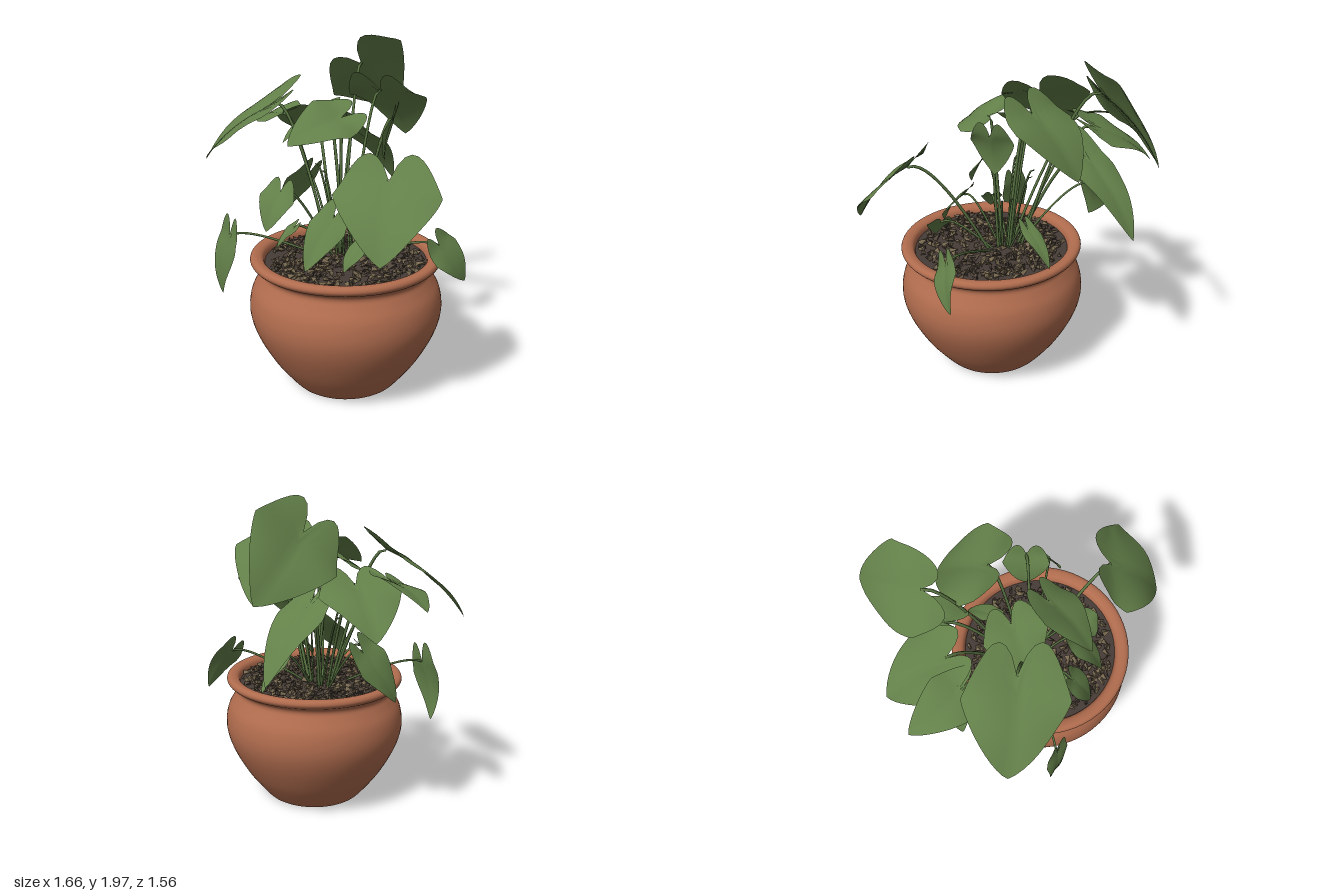
import * as THREE from 'three';

const V = (a) => new THREE.Vector3(...a);
const CENTER = [0.105, 0.22]; // pot axis (x, z)

// Each leaf: stem junction, tip, half width and optional roll about its midrib
const LEAVES = [
  { name: 'topBackLeaf', base: [-0.19, 1.79, -0.36], tip: [-0.16, 1.47, -0.78], width: 0.27, roll: 0.9 },
  { name: 'largeRightLeaf', base: [-0.37, 1.62, 0.25], tip: [-0.81, 1.25, 0.39], width: 0.29, roll: 0.26 },
  { name: 'largeFrontLeaf', base: [0.54, 1.35, 0.45], tip: [0.68, 1, 0.74], width: 0.28 },
  { name: 'largeBackLeaf', base: [0.11, 1.69, -0.12], tip: [0.09, 1.37, -0.44], width: 0.25 },
  { name: 'sideHangingLeaf', base: [0.3, 1.58, 0.02], tip: [0.25, 1.33, 0.04], width: 0.13 },
  { name: 'backRightLeaf', base: [-0.39, 1.49, -0.15], tip: [-0.66, 1.26, -0.4], width: 0.23 },
  { name: 'lowBackLeaf', base: [-0.18, 1.4, -0.26], tip: [-0.14, 1, -0.66], width: 0.15 },
  { name: 'farRightLeaf', base: [-0.52, 1.5, 0], tip: [-0.83, 1.4, -0.17], width: 0.15, roll: 0.3 },
  { name: 'midRightLeaf', base: [-0.43, 1.1, -0.12], tip: [-0.58, 0.8, 0], width: 0.13, roll: -0.75 },
  { name: 'lowRightLeaf', base: [-0.48, 0.88, 0.56], tip: [-0.55, 0.5, 0.57], width: 0.1, roll: 1.2 },
  { name: 'lowLeftLeaf', base: [0.63, 0.9, 0.06], tip: [0.73, 0.67, -0.07], width: 0.11, roll: -1.1 },
  { name: 'upperFrontLeaf', base: [0.09, 1.59, 0.23], tip: [-0.04, 1.47, 0.55], width: 0.17, roll: 0.5 },
  { name: 'upperCenterLeaf', base: [-0.1, 1.58, 0.1], tip: [-0.29, 1.4, 0.29], width: 0.18 },
  { name: 'frontHeartLeaf', base: [0.15, 1.06, 0.4], tip: [0.12, 0.81, 0.62], width: 0.11, roll: 0.4 },
  { name: 'frontRightLeaf', base: [-0.14, 1.19, 0.5], tip: [-0.14, 0.99, 0.63], width: 0.1, roll: 0.3 },
  { name: 'smallFrontLeaf', base: [-0.11, 0.96, 0.42], tip: [-0.18, 0.84, 0.5], width: 0.07 },
  { name: 'smallLeftLeaf', base: [0.34, 0.94, 0.41], tip: [0.3, 0.81, 0.51], width: 0.08 },
  { name: 'smallBackLeaf', base: [0.12, 0.98, -0.1], tip: [0.15, 0.8, -0.29], width: 0.06 },
];

// Seeded random numbers
function makeRandom(seed) {
  return () => {
    seed = (seed * 1664525 + 1013904223) % 4294967296;
    return seed / 4294967296;
  };
}

// Heart-shaped blade: every column runs from the lobed edge to the tip edge
function leafGeometry({ base, tip, width, roll = 0 }, phase) {
  const COLS = 24, ROWS = 12;
  const origin = V(base), along = V(tip).sub(origin);
  const length = along.length(), axis = along.clone().normalize();
  const across = new THREE.Vector3(-along.z, 0, along.x).normalize();
  const normal = across.clone().cross(axis);
  across.applyAxisAngle(axis, -roll);
  normal.applyAxisAngle(axis, -roll);
  const geo = new THREE.PlaneGeometry(1, 1, COLS, ROWS);
  const pos = geo.attributes.position;
  const p = new THREE.Vector3();
  for (let j = 0; j <= ROWS; j++) {
    for (let i = 0; i <= COLS; i++) {
      const s = Math.sin((i / COLS - 0.5) * Math.PI), a = Math.abs(s);
      const back = 0.2 * a ** 3 - 0.33 * Math.sin(Math.PI * a ** 0.8);
      const front = 0.2 + 0.8 * Math.max(0, 1 - a ** 1.25) ** 0.8;
      const v = THREE.MathUtils.lerp(front, back, j / ROWS);
      const arch = 0.3 * Math.max(v, 0) * (1 - v) * length;
      const fold = 0.16 * a * (1 - 0.9 * a) * width;
      const ripple = 0.08 * a * a * Math.sin(v * 6 + phase + s) * width;
      p.copy(origin).addScaledVector(along, v).addScaledVector(across, s * width)
        .addScaledVector(normal, arch + fold + ripple);
      pos.setXYZ(j * (COLS + 1) + i, p.x, p.y, p.z);
    }
  }
  geo.computeVertexNormals();
  return geo;
}

// Arching stem that rises from the clump to the leaf
function stemGeometry(base, root, radius) {
  const end = V(base);
  const knee = root.clone().lerp(end, 0.45);
  knee.y = THREE.MathUtils.lerp(root.y, end.y, 0.7);
  const high = root.clone().lerp(end, 0.8);
  high.y = end.y + 0.04;
  return new THREE.TubeGeometry(new THREE.CubicBezierCurve3(root, knee, high, end), 20, radius, 6);
}

export function createModel() {
  const model = new THREE.Group();
  const material = (name, color) => {
    const m = new THREE.MeshStandardMaterial({ color });
    m.name = name;
    return m;
  };
  const terracotta = material('terracotta', 0xb06c4e);
  const leafGreen = material('leafGreen', 0x638049);
  leafGreen.side = THREE.DoubleSide;
  const stemGreen = material('stemGreen', 0x5a7643);
  const soilBrown = material('soilBrown', 0x463b37);
  const barkDark = material('barkDark', 0x51463b);
  const barkLight = material('barkLight', 0x76684f);
  const add = (name, geo, mat, parent = model) => {
    const mesh = new THREE.Mesh(geo, mat);
    mesh.name = name;
    parent.add(mesh);
    return mesh;
  };

  // Pot: rounded belly, narrow neck, rolled rim
  const pot = new THREE.Group();
  pot.name = 'pot';
  pot.position.set(CENTER[0], 0, CENTER[1]);
  model.add(pot);
  const profile = new THREE.SplineCurve([
    [0.28, 0], [0.308, 0.012], [0.37, 0.085], [0.44, 0.18], [0.51, 0.305], [0.55, 0.41], [0.561, 0.5],
    [0.545, 0.59], [0.507, 0.66], [0.487, 0.7], [0.498, 0.73], [0.535, 0.752], [0.551, 0.775],
    [0.542, 0.797], [0.515, 0.802], [0.482, 0.79], [0.467, 0.755], [0.465, 0.7],
  ].map((point) => new THREE.Vector2(...point)));
  add('potBody', new THREE.LatheGeometry(profile.getPoints(72), 64), terracotta, pot);
  add('potBase', new THREE.CircleGeometry(0.28, 64).rotateX(Math.PI / 2), terracotta, pot);

  // Soil with scattered bark chips
  add('soil', new THREE.CircleGeometry(0.475, 48).rotateX(-Math.PI / 2), soilBrown, pot).position.y = 0.755;
  const random = makeRandom(7);
  const chipShape = new THREE.TetrahedronGeometry(1);
  for (let i = 0; i < 560; i++) {
    const r = 0.44 * Math.sqrt(random()), angle = random() * Math.PI * 2;
    const chip = add('barkChip', chipShape, i % 2 ? barkDark : barkLight, pot);
    chip.position.set(r * Math.cos(angle), 0.76 + random() * 0.02, r * Math.sin(angle));
    chip.scale.set(0.02 + random() * 0.03, 0.01 + random() * 0.015, 0.01 + random() * 0.014);
    chip.rotation.set(random() - 0.5, random() * 6.3, random() - 0.5);
  }

  // Leaves, each on its own stem from the central clump
  LEAVES.forEach((leaf, i) => {
    const plant = new THREE.Group();
    plant.name = leaf.name;
    model.add(plant);
    add('leafBlade', leafGeometry(leaf, i * 1.7), leafGreen, plant);
    const root = new THREE.Vector3(
      0.04 + leaf.base[0] * 0.2 + (random() - 0.5) * 0.06, 0.75,
      0.15 + leaf.base[2] * 0.12 + (random() - 0.5) * 0.06);
    add('stem', stemGeometry(leaf.base, root, leaf.base[1] > 1.3 ? 0.009 : 0.007), stemGreen, plant);
  });

  // Short young shoots in the clump
  for (let i = 0; i < 6; i++) {
    const angle = i * 2.4;
    const root = new THREE.Vector3(0.04 + 0.04 * Math.cos(angle), 0.75, 0.15 + 0.04 * Math.sin(angle));
    const end = [-0.02 + 0.13 * Math.cos(angle), 1.0 + random() * 0.3, 0.12 + 0.13 * Math.sin(angle)];
    add('youngShoot', stemGeometry(end, root, 0.006), stemGreen);
  }
  return model;
}
